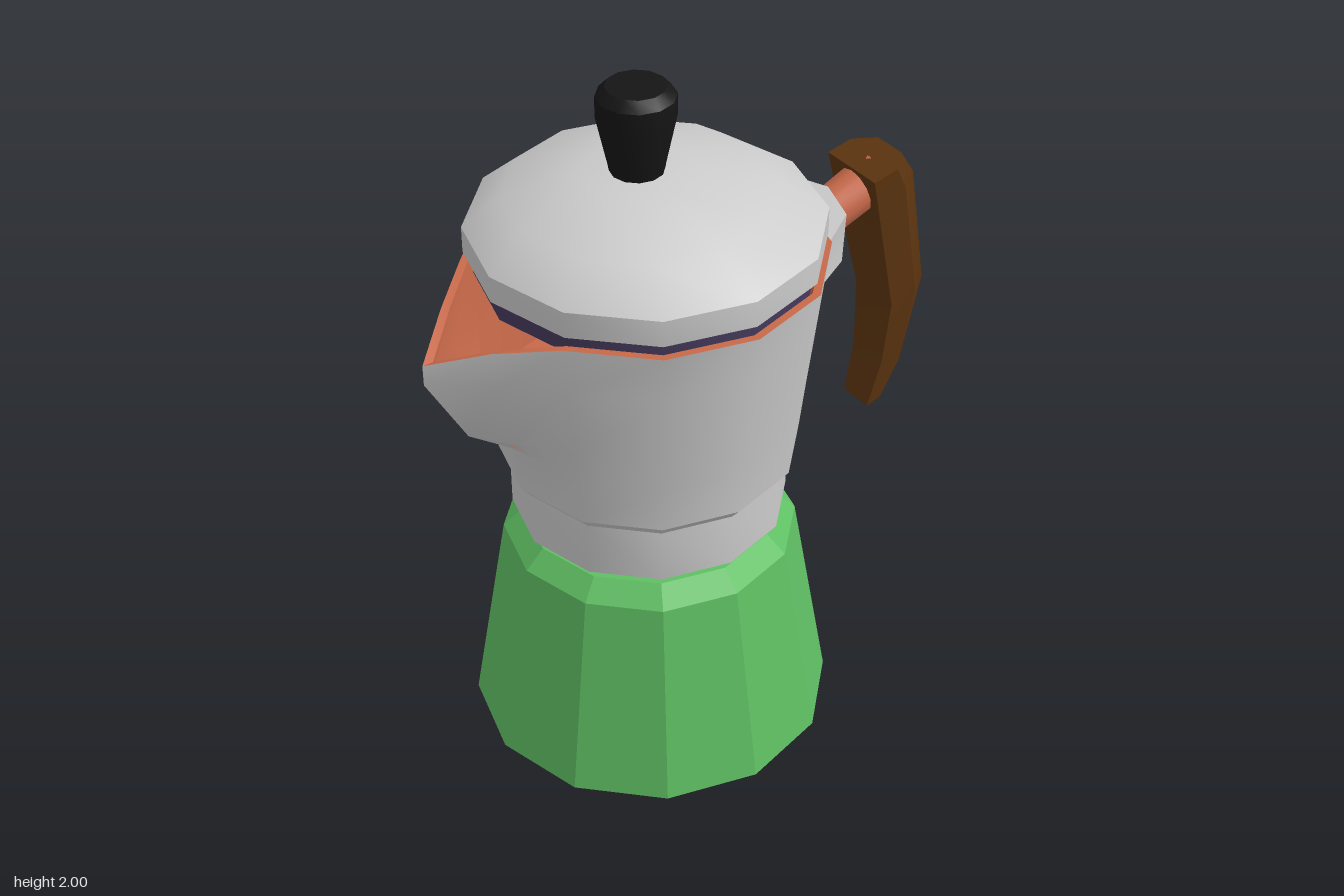
import * as THREE from 'three';
import { toCreasedNormals } from 'three/addons/utils/BufferGeometryUtils.js';

const AXIS = -0.12; // x of the pot's centre line
const GREY = 0xcccccc, GREEN = 0x5fbf63, COPPER = 0xc8694a, BROWN = 0x5c340f, BLACK = 0x151515, PURPLE = 0x453a5c;

function makeMesh(name, geometry, color, crease) {
  const material = new THREE.MeshStandardMaterial({ color });
  const mesh = new THREE.Mesh(toCreasedNormals(geometry, crease), material);
  mesh.name = name;
  return mesh;
}

// Twelve-sided turned part from [radius, y] pairs, listed bottom to top
function turned(name, profile, color, crease, x = AXIS) {
  const geometry = new THREE.LatheGeometry(profile.map(([r, y]) => new THREE.Vector2(r, y)), 12);
  geometry.translate(x, 0, 0);
  return makeMesh(name, geometry, color, crease);
}

// Skin over closed loops of [x, y, z], each anticlockwise seen from above
function loft(loops, capBottom, capTop) {
  const n = loops[0].length, last = (loops.length - 1) * n, index = [];
  for (let i = 0; i < loops.length - 1; i++) {
    for (let j = 0; j < n; j++) {
      const a = i * n + j, b = i * n + (j + 1) % n;
      index.push(a, b, b + n, a, b + n, a + n);
    }
  }
  for (let j = 1; j < n - 1; j++) {
    if (capBottom) index.push(0, j + 1, j);
    if (capTop) index.push(last, last + j, last + j + 1);
  }
  const geometry = new THREE.BufferGeometry();
  geometry.setAttribute('position', new THREE.Float32BufferAttribute(loops.flat(2), 3));
  geometry.setIndex(index);
  return geometry;
}

// Twelve-sided ring whose left corner is pulled out to the spout tip
function jugRing([y, r, tipX, tipY = y], scale = 1) {
  const at = (deg) => {
    const a = THREE.MathUtils.degToRad(deg);
    return [AXIS + r * Math.cos(a), y, -r * Math.sin(a)];
  };
  const tip = [tipX, tipY, 0];
  const between = (p) => [(p[0] + tipX) / 2, (y + tipY) / 2 + (y - tipY) * 0.17, p[2] / 2];
  const ring = [];
  for (let deg = 0; deg <= 150; deg += 30) ring.push(at(deg));
  ring.push(between(at(150)), tip, between(at(210)));
  for (let deg = 210; deg < 360; deg += 30) ring.push(at(deg));
  return ring.map(([x, h, z]) => [AXIS + (x - AXIS) * scale, h, z * scale]);
}

export function createModel() {
  const group = new THREE.Group();
  group.name = 'stovetopCoffeePot';

  // Faceted water chamber with inset foot
  group.add(turned('waterChamber', [
    [0, 0], [0.34, 0], [0.34, 0.037], [0.39, 0.037], [0.483, 0.13], [0.387, 0.7], [0.335, 0.75], [0, 0.75],
  ], GREEN, 0.3));

  // Neck and collar
  group.add(turned('collar', [
    [0.31, 0.74], [0.32, 0.775], [0.36, 0.785], [0.36, 0.935], [0.39, 0.97],
  ], GREY, 0.6));

  // Jug with spout, and its copper lining
  const rows = [
    [0.97, 0.39, -0.51],
    [1.11, 0.406, -0.53],
    [1.2, 0.417, -0.65],
    [1.4, 0.441, -0.76],
    [1.53, 0.457, -0.76, 1.455],
  ];
  group.add(makeMesh('jug', loft(rows.map((row) => jugRing(row)), false, false), GREY, 0.65));
  const lining = [jugRing(rows[4]), ...[4, 3, 2, 1].map((i) => jugRing(rows[i], 0.955))];
  group.add(makeMesh('jugLining', loft(lining, false, true), COPPER, 0.6));

  // Lid with its dark inner lip; the crown leans slightly to the spout
  group.add(turned('lidLip', [[0, 1.5], [0.425, 1.5], [0.425, 1.57]], PURPLE, 0.6));
  const lid = turned('lid', [
    [0, 1.56], [0.447, 1.56], [0.447, 1.63], [0.335, 1.72], [0.14, 1.775], [0, 1.775],
  ], GREY, 0.6);
  const p = lid.geometry.attributes.position;
  for (let i = 0; i < p.count; i++) if (p.getY(i) > 1.7) p.setX(i, p.getX(i) - 0.02);
  group.add(lid);

  // Knob
  group.add(turned('knob', [
    [0.065, 1.76], [0.07, 1.79], [0.098, 1.92], [0.098, 1.975], [0.075, 2], [0, 2],
  ], BLACK, 0.7, -0.145));

  // Handle bracket: root x and half width, shoulder x and half width, ridge x, three heights
  const bracket = [
    [0.22, 0.2, 0.27, 0.1, 0.295, 1.19, 1.19, 1.19],
    [0.22, 0.165, 0.325, 0.11, 0.335, 1.29, 1.29, 1.29],
    [0.22, 0.15, 0.41, 0.11, 0.415, 1.36, 1.36, 1.36],
    [0.25, 0.21, 0.41, 0.12, 0.445, 1.475, 1.505, 1.515],
  ].map(([xr, wr, xs, ws, xc, yr, ys, yc]) => [
    [xr, yr, wr], [xs, ys, ws], [xc, yc, 0], [xs, ys, -ws], [xr, yr, -wr],
  ]);
  group.add(makeMesh('handleBracket', loft(bracket, true, true), GREY, 0.3));

  // Copper rod joining bracket and handle
  const rod = makeMesh('handleRod', new THREE.CylinderGeometry(0.065, 0.06, 0.24, 12), COPPER, 0.7);
  rod.position.set(0.49, 1.455, 0);
  rod.rotation.z = -1.2;
  group.add(rod);

  // Handle grip: inner point, outer point, half width; outer side is chamfered
  const grip = [
    [0.575, 0.79, 0.65, 0.81, 0.05],
    [0.61, 0.93, 0.7, 0.885, 0.06],
    [0.62, 1.12, 0.755, 1.145, 0.075],
    [0.535, 1.48, 0.69, 1.5, 0.093],
    [0.52, 1.545, 0.645, 1.57, 0.095],
  ].map(([xi, yi, xo, yo, w]) => {
    const xm = xi + (xo - xi) * 0.6, ym = yi + (yo - yi) * 0.6;
    return [
      [xo, yo, w * 0.5], [xo, yo, -w * 0.5], [xm, ym, -w], [xi, yi, -w], [xi, yi, w], [xm, ym, w],
    ];
  });
  group.add(makeMesh('handleGrip', loft(grip, true, true), BROWN, 0.5));

  return group;
}
